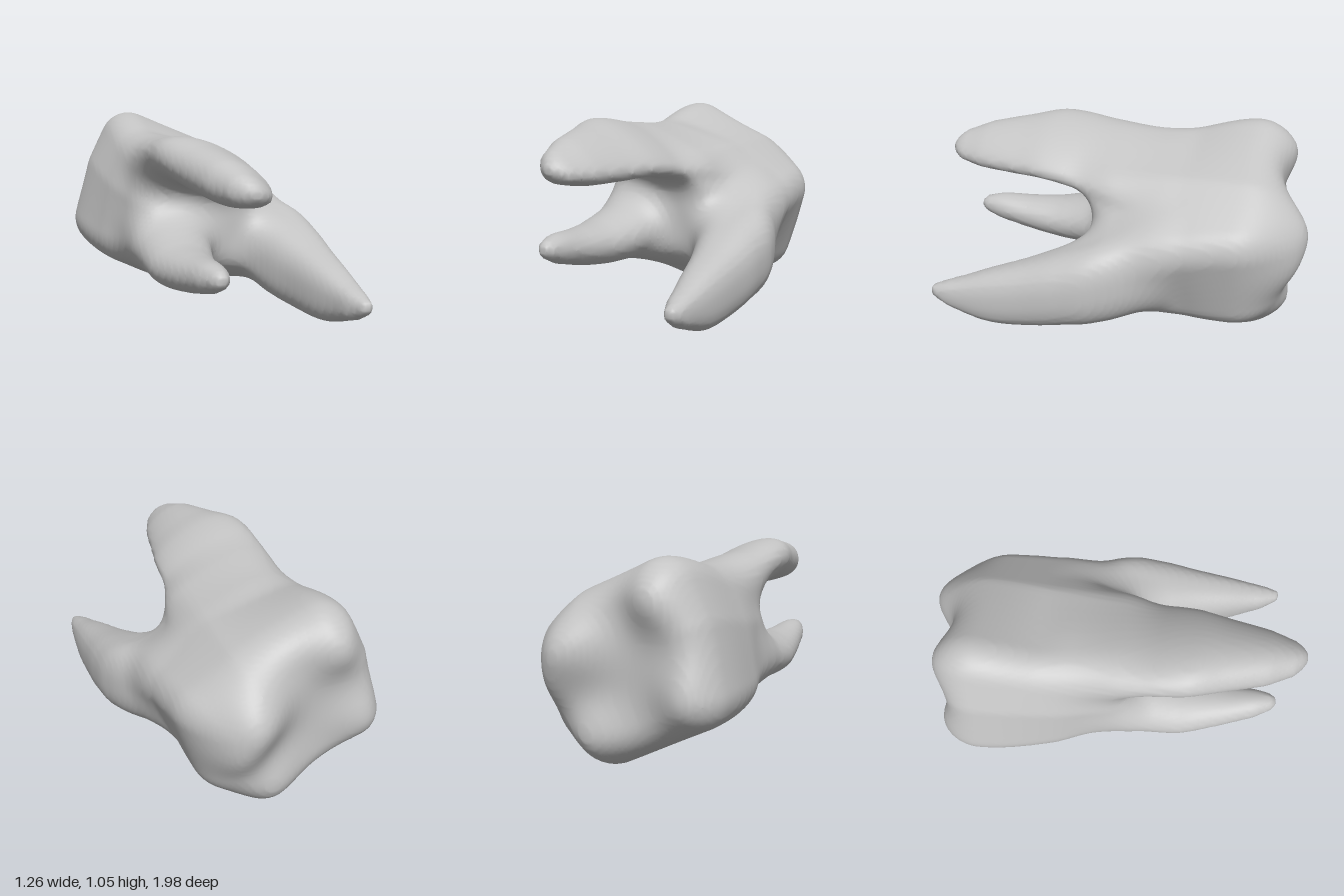
import * as THREE from 'three';

// Smooth interpolation of a table of rows [z, ...values]
function sample(rows, z) {
  const n = rows.length;
  let i = 0;
  while (i < n - 2 && z > rows[i + 1][0]) i++;
  const r0 = rows[Math.max(i - 1, 0)], r1 = rows[i], r2 = rows[i + 1], r3 = rows[Math.min(i + 2, n - 1)];
  const t = THREE.MathUtils.clamp((z - r1[0]) / (r2[0] - r1[0]), 0, 1);
  return r1.slice(1).map((b, j) => {
    const a = r0[j + 1], c = r2[j + 1], d = r3[j + 1];
    return b + 0.5 * t * (c - a + t * (2 * a - 5 * b + 4 * c - d + t * (3 * (b - c) + d - a)));
  });
}

function smin(a, b, k) {
  const h = Math.max(k - Math.abs(a - b), 0) / k;
  return Math.min(a, b) - h * h * k * 0.25;
}
const smax = (a, b, k) => -smin(-a, -b, k);

// Crown: rounding radius, then seven corners of the cross-section
const crown = [
  [-0.95, 0.16, -0.29, 0.86, -0.38, 0.69, -0.445, 0.42, -0.01, 0.20, 0.12, 0.28, 0.195, 0.56, 0.05, 0.71],
  [-0.63, 0.16, -0.30, 0.885, -0.39, 0.71, -0.47, 0.41, 0.00, 0.16, 0.17, 0.25, 0.27, 0.57, 0.07, 0.725],
  [-0.25, 0.155, -0.27, 0.80, -0.335, 0.65, -0.385, 0.39, -0.05, 0.23, 0.18, 0.28, 0.305, 0.52, 0.08, 0.71],
  [0.10, 0.15, -0.21, 0.77, -0.245, 0.62, -0.25, 0.44, -0.14, 0.39, 0.12, 0.38, 0.18, 0.46, 0.07, 0.69],
];

// Cusps: x, y, height, width
const cusps = [
  [0.11, 0.61, 0.175, 0.195], [0.20, 0.41, 0.08, 0.15], [-0.33, 0.87, 0.07, 0.15],
  [-0.50, 0.43, 0.055, 0.16], [0.00, 0.19, 0.10, 0.18],
];

// Roots: z, centre x, centre y, half width, half height; plus tilt, taper across the width, squareness and tip
const roots = [
  { tilt: -0.33, taper: 0.25, power: 2, tip: 1.0, rows: [
    [-0.25, -0.08, 0.78, 0.24, 0.10], [0.10, -0.09, 0.825, 0.285, 0.112], [0.40, -0.085, 0.875, 0.275, 0.115],
    [0.60, -0.065, 0.862, 0.22, 0.112], [0.80, -0.045, 0.848, 0.165, 0.10], [0.93, -0.03, 0.84, 0.105, 0.07], [1.0, -0.02, 0.84, 0.05, 0.04]] },
  { tilt: 0, taper: 0, power: 2, tip: 0.92, rows: [
    [-0.25, -0.18, 0.45, 0.19, 0.20], [0.10, -0.205, 0.43, 0.205, 0.17], [0.40, -0.22, 0.387, 0.168, 0.122],
    [0.60, -0.20, 0.395, 0.123, 0.097], [0.80, -0.17, 0.425, 0.08, 0.075], [0.92, -0.15, 0.44, 0.04, 0.04]] },
  { tilt: 0, taper: 0, power: 2.5, tip: 0.91, rows: [
    [-0.30, 0.25, 0.42, 0.20, 0.23], [0.00, 0.39, 0.36, 0.20, 0.225], [0.20, 0.433, 0.312, 0.19, 0.205],
    [0.40, 0.478, 0.265, 0.147, 0.178], [0.60, 0.515, 0.235, 0.11, 0.143], [0.80, 0.55, 0.235, 0.065, 0.075], [0.91, 0.57, 0.25, 0.03, 0.03]] },
];

// Distance to a rounded convex polygon
function polygon(s, x, y) {
  let d2 = Infinity, inside = true;
  for (let i = 1; i < s.length; i += 2) {
    const j = i + 2 < s.length ? i + 2 : 1;
    const ex = s[j] - s[i], ey = s[j + 1] - s[i + 1], px = x - s[i], py = y - s[i + 1];
    const t = Math.min(Math.max((px * ex + py * ey) / (ex * ex + ey * ey), 0), 1);
    d2 = Math.min(d2, (px - t * ex) ** 2 + (py - t * ey) ** 2);
    if (ex * py - ey * px < 0) inside = false;
  }
  return (inside ? -1 : 1) * Math.sqrt(d2) - s[0];
}

// Distance to a tilted ellipse that may be squarish or thicker at one end
function ellipse([cx, cy, a, height], { tilt, taper, power }, x, y) {
  const c = Math.cos(tilt), s = Math.sin(tilt);
  const u = (x - cx) * c + (y - cy) * s, v = (y - cy) * c - (x - cx) * s;
  const b = height * (1 - taper * THREE.MathUtils.clamp(u / a, -1, 1));
  const U = Math.abs(u / a), V = Math.abs(v / b);
  const q = (U ** power + V ** power) ** (1 / power);
  if (q < 0.05) return -Math.min(a, b);
  return (q - 1) * q ** (power - 1) / Math.hypot(U ** (power - 1) / a, V ** (power - 1) / b);
}

// Field of the whole tooth for one slice of constant z
function slice(z) {
  const body = sample(crown, z), limbs = roots.map(r => sample(r.rows, z));
  return (x, y) => {
    let top = 0.80;
    for (const [cx, cy, h, w] of cusps) top += h * Math.exp(-((x - cx) ** 2 + (y - cy) ** 2) / (w * w));
    let d = smax(polygon(body, x, y), (-z - top) * 0.8, 0.14);
    d = smax(d, z - 0.14, 0.16);
    roots.forEach((r, i) => {
      let e = ellipse(limbs[i], r, x, y);
      e = smax(e, z - r.tip, 0.05);
      e = smax(e, r.rows[0][0] - z, 0.1);
      d = smin(d, e, 0.13);
    });
    return d;
  };
}

// Turn the field into one smooth skin: a point per crossed cell, a quad per crossed edge
function skin() {
  const step = 0.021, min = [-0.8, -0.15, -1.15], dim = [76, 65, 110];
  const stride = [1, dim[0], dim[0] * dim[1]];
  const field = new Float32Array(dim[0] * dim[1] * dim[2]);
  for (let k = 0, n = 0; k < dim[2]; k++) {
    const f = slice(min[2] + k * step);
    for (let j = 0; j < dim[1]; j++)
      for (let i = 0; i < dim[0]; i++) field[n++] = f(min[0] + i * step, min[1] + j * step);
  }
  const ids = new Int32Array(field.length).fill(-1), points = [], index = [];
  const each = (from, fn) => {
    for (let k = from; k < dim[2] - 1; k++)
      for (let j = from; j < dim[1] - 1; j++)
        for (let i = from; i < dim[0] - 1; i++) fn([i, j, k], i + j * stride[1] + k * stride[2]);
  };
  each(0, (cell, n) => {
    const sum = [0, 0, 0];
    let count = 0;
    for (let a = 0; a < 3; a++) {
      const b = (a + 1) % 3, c = (a + 2) % 3;
      for (let m = 0; m < 4; m++) {
        const u = m & 1, w = m >> 1, p = n + u * stride[b] + w * stride[c];
        const f0 = field[p], f1 = field[p + stride[a]];
        if ((f0 < 0) === (f1 < 0)) continue;
        sum[a] += f0 / (f0 - f1);
        sum[b] += u;
        sum[c] += w;
        count++;
      }
    }
    if (!count) return;
    ids[n] = points.length / 3;
    for (let a = 0; a < 3; a++) points.push(min[a] + (cell[a] + sum[a] / count) * step);
  });
  each(1, (cell, n) => {
    for (let a = 0; a < 3; a++) {
      const inside = field[n] < 0;
      if (inside === (field[n + stride[a]] < 0)) continue;
      const b = stride[(a + 1) % 3], c = stride[(a + 2) % 3];
      const q = [ids[n], ids[n - b], ids[n - b - c], ids[n - c]];
      if (!inside) q.reverse();
      index.push(q[0], q[1], q[2], q[0], q[2], q[3]);
    }
  });
  const geometry = new THREE.BufferGeometry();
  geometry.setAttribute('position', new THREE.Float32BufferAttribute(points, 3));
  geometry.setIndex(index);
  geometry.computeVertexNormals();
  return geometry;
}

export function createModel() {
  const group = new THREE.Group();
  group.name = 'molarTooth';
  const enamel = new THREE.MeshStandardMaterial({ color: 0xc4c4c4 });
  enamel.name = 'greyEnamel';
  const tooth = new THREE.Mesh(skin(), enamel);
  tooth.name = 'crownAndRoots';
  group.add(tooth);
  return group;
}
